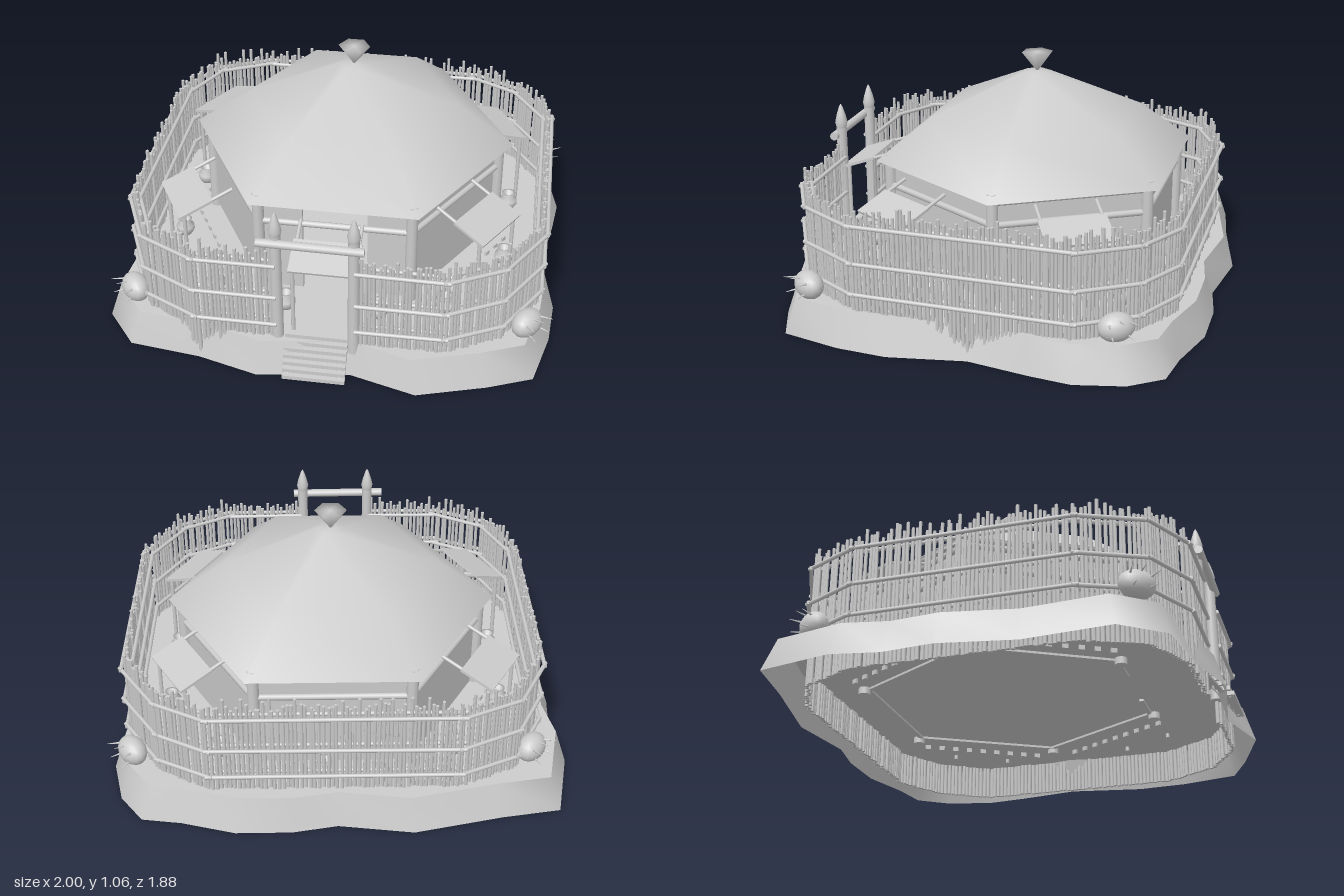
import * as THREE from 'three';
import { mergeGeometries } from 'three/addons/utils/BufferGeometryUtils.js';

const V = (x, y, z) => new THREE.Vector3(x, y, z);
const UP = V(0, 1, 0);
const CX = 0.037, CZ = -0.085; // hut centre
const GROUND = 0.15;

export function createModel() {
  const model = new THREE.Group();
  const grey = new THREE.MeshStandardMaterial({ color: 0xcccccc });
  const thin = new THREE.MeshStandardMaterial({ color: 0xcccccc, side: THREE.DoubleSide });

  let seed = 7;
  const rnd = () => (seed = (seed * 16807) % 2147483647) / 2147483647;

  const add = (name, geo, mat = grey, parent = model) => {
    const mesh = new THREE.Mesh(geo, mat);
    mesh.name = name;
    parent.add(mesh);
    return mesh;
  };
  // Round bar from a to b
  const rod = (a, b, r, r2 = r, sides = 8) => {
    const d = b.clone().sub(a), g = new THREE.CylinderGeometry(r2, r, d.length(), sides);
    g.applyQuaternion(new THREE.Quaternion().setFromUnitVectors(UP, d.normalize()));
    return g.translate((a.x + b.x) / 2, (a.y + b.y) / 2, (a.z + b.z) / 2);
  };

  // Earth mound: irregular foot line, sloping skirt and flat top
  const foot = [
    [-.93, -.82], [-.68, -.86], [-.3, -.945], [.02, -.9], [.21, -.935], [.45, -.935], [.68, -.87], [.85, -.845],
    [.95, -.71], [1, -.5], [.98, -.32], [.935, -.05], [.995, .28], [.98, .5], [.92, .76], [.73, .84], [.44, .93],
    [.16, .85], [-.235, .905], [-.5, .83], [-.81, .79], [-.95, .615], [-.92, .24], [-.98, -.08], [-.96, -.3], [-1, -.5],
  ];
  const inset = 0.95, n = foot.length, pos = [], index = [];
  foot.forEach(([x, z], i) => {
    const a = 2 * i, b = 2 * ((i + 1) % n);
    pos.push(x, 0, z, x * inset, GROUND, z * inset);
    index.push(a, a + 1, b + 1, a, b + 1, b);
  });
  const skirt = new THREE.BufferGeometry();
  skirt.setAttribute('position', new THREE.Float32BufferAttribute(pos, 3));
  skirt.setIndex(index);
  skirt.computeVertexNormals();
  add('moundSlope', skirt, thin);
  const topShape = new THREE.Shape(foot.map(([x, z]) => new THREE.Vector2(x * inset, -z * inset)));
  add('moundTop', new THREE.ShapeGeometry(topShape).rotateX(-Math.PI / 2).translate(0, GROUND, 0), thin);

  // Palisade: runs from one gate post round to the other
  const line = [
    [.17, .81], [.54, .81], [.76, .695], [.91, .44], [.91, -.48], [.76, -.71], [.55, -.82],
    [-.49, -.82], [-.73, -.71], [-.845, -.48], [-.845, .44], [-.73, .695], [-.5, .81], [-.155, .81],
  ];
  const stakes = [], rails = [];
  for (let i = 0; i < line.length - 1; i++) {
    const a = V(line[i][0], 0, line[i][1]), b = V(line[i + 1][0], 0, line[i + 1][1]);
    const dir = b.clone().sub(a), len = dir.length(), count = Math.round(len / 0.0185);
    dir.normalize();
    const out = V(-dir.z, 0, dir.x).negate();
    if (out.dot(a) < 0) out.negate();
    for (let k = 0; k < count; k++) {
      const p = a.clone().addScaledVector(dir, (k + 0.5) * len / count).addScaledVector(out, (rnd() - 0.5) * 0.014);
      const t = p.clone().addScaledVector(dir, (rnd() - 0.5) * 0.014);
      t.y = 0.555 + rnd() * 0.035 + (rnd() > 0.72 ? 0.03 : 0);
      stakes.push(rod(p, t, 0.0095, 0.0075, 6));
    }
    // Paired rails, inside and outside, running a little past each bend
    for (const y of [0.225, 0.362, 0.525]) for (const s of [-1, 1]) {
      const end = (p, over) => p.clone().addScaledVector(dir, over).addScaledVector(out, s * 0.021).setY(y + (rnd() - 0.5) * 0.006);
      rails.push(rod(end(a, i ? -0.02 : 0), end(b, i < line.length - 2 ? 0.02 : 0), 0.009));
    }
  }
  add('palisadeStakes', mergeGeometries(stakes));
  add('palisadeRails', mergeGeometries(rails));

  // Gate: two pointed posts and a cross beam
  for (const x of [-0.155, 0.165]) {
    add('gatePost', rod(V(x, 0.1, 0.805), V(x, 0.68, 0.805), 0.026, 0.023, 12));
    const tip = [[.023, .67], [.028, .695], [.02, .73], [.008, .768], [0, .782]];
    add('gatePostTip', new THREE.LatheGeometry(tip.map(p => new THREE.Vector2(...p)), 12).translate(x, 0, 0.805));
  }
  add('gateBeam', rod(V(-0.23, 0.64, 0.825), V(0.21, 0.636, 0.825), 0.019, 0.019, 10));

  // Steps up to the gate
  for (let i = 0; i < 7; i++) {
    add('step', new THREE.BoxGeometry(0.265, 0.018, 0.03)).position.set(0.01, 0.015 + i * 0.0245, 0.905 - i * 0.016);
  }
  for (const x of [-0.1, 0.12]) add('stairBeam', rod(V(x, 0.005, 0.905), V(x, 0.15, 0.8), 0.01));

  // Hut: hexagonal roof with a thick shell
  const hut = new THREE.Group();
  hut.name = 'hut';
  hut.position.set(CX, 0, CZ);
  model.add(hut);
  const hex = (pts) => new THREE.LatheGeometry(pts.map(p => new THREE.Vector2(...p)), 6, Math.PI / 2);
  add('roof', hex([[0, .93], [.44, .755], [.69, .61], [.722, .612], [.48, .792], [.06, .973], [0, .978]]), thin, hut);
  add('roofFinial', hex([[0, .97], [.07, 1.06], [0, 1.06]]), thin, hut);

  // Hut walls, corner posts and eave beams; the front wall has a doorway
  const corner = (k, r, y) => V(Math.cos(k * Math.PI / 3) * r, y, Math.sin(k * Math.PI / 3) * r);
  for (let k = 0; k < 6; k++) {
    add('cornerPost', rod(corner(k, 0.66, 0.12), corner(k, 0.66, 0.64), 0.027, 0.025, 10), grey, hut);
    for (const y of [0.5, 0.6]) add('eaveBeam', rod(corner(k, 0.66, y), corner(k + 1, 0.66, y), 0.014), grey, hut);
    const side = new THREE.Group();
    side.name = 'wallSide';
    side.rotation.y = Math.PI / 2 - (k + 0.5) * Math.PI / 3;
    hut.add(side);
    const panels = k === 1 ? [[-0.23, 0.18], [0.23, 0.18]] : [[0, 0.64]];
    for (const [x, w] of panels) {
      add('wall', new THREE.BoxGeometry(w, 0.46, 0.02), grey, side).position.set(x, 0.37, 0.555);
    }
    // Short ground pegs along the four slanted sides
    if (k % 3 !== 1) for (let i = 0; i < 9; i++) {
      add('groundPeg', new THREE.BoxGeometry(0.025, 0.04, 0.01), grey, side).position.set((i - 4) * 0.068, GROUND, 0.665);
    }
  }

  // Sloping awnings on two poles, outside the hut walls
  const awnings = [
    [0.035, 0.725, 0], [0.675, 0.355, Math.PI / 3], [0.68, -0.435, 2 * Math.PI / 3],
    [-0.64, 0.35, -Math.PI / 3], [-0.64, -0.45, -2 * Math.PI / 3],
  ];
  for (const [x, z, turn] of awnings) {
    const awning = new THREE.Group();
    awning.name = 'awning';
    awning.position.set(x, 0, z);
    awning.rotation.y = turn;
    model.add(awning);
    const sheet = add('awningSheet', new THREE.BoxGeometry(0.29, 0.012, 0.16), grey, awning);
    sheet.position.y = 0.51;
    sheet.rotation.x = 0.35;
    for (const s of [-0.13, 0.13]) {
      add('awningPole', rod(V(s, 0.13, 0.05), V(s, 0.49, 0.05), 0.009), grey, awning);
      add('awningArm', rod(V(s, 0.49, 0.05), V(s, 0.57, -0.17), 0.008), grey, awning);
    }
  }

  // Round pots beside each awning
  const potProfile = [[0, 0], [.026, 0], [.042, .025], [.041, .045], [.026, .065], [.032, .08], [.022, .078], [.018, .06], [0, .05]];
  const pot = new THREE.LatheGeometry(potProfile.map(p => new THREE.Vector2(...p)), 14);
  const pots = [[-.155, .625], [.245, .625], [.075, -.735]];
  for (const [x, z] of [[.49, .54], [.72, .17], [.72, -.26], [.49, -.6]]) pots.push([CX + x, z], [CX - x - 0.03, z]);
  for (const [x, z] of pots) add('pot', pot, thin).position.set(x, GROUND, z);

  // Spiked bundles on the outer corners of the palisade
  for (const [x, z] of [[-.805, .67], [.875, .66], [-.81, -.66], [.89, -.65]]) {
    const bundle = new THREE.Group();
    bundle.name = 'spikedBundle';
    bundle.position.set(x, 0.22, z);
    bundle.rotation.y = Math.atan2(x, z);
    model.add(bundle);
    add('bundleBody', new THREE.SphereGeometry(1, 16, 10), grey, bundle).scale.set(0.078, 0.06, 0.056);
    for (const [sx, sy] of [[-.04, .025], [.04, .025], [0, .035], [-.03, -.02], [.03, -.02]]) {
      add('spike', rod(V(sx, sy, 0.02), V(sx * 1.5, sy * 1.4, 0.085), 0.006, 0.001, 6), grey, bundle);
    }
  }
  return model;
}
